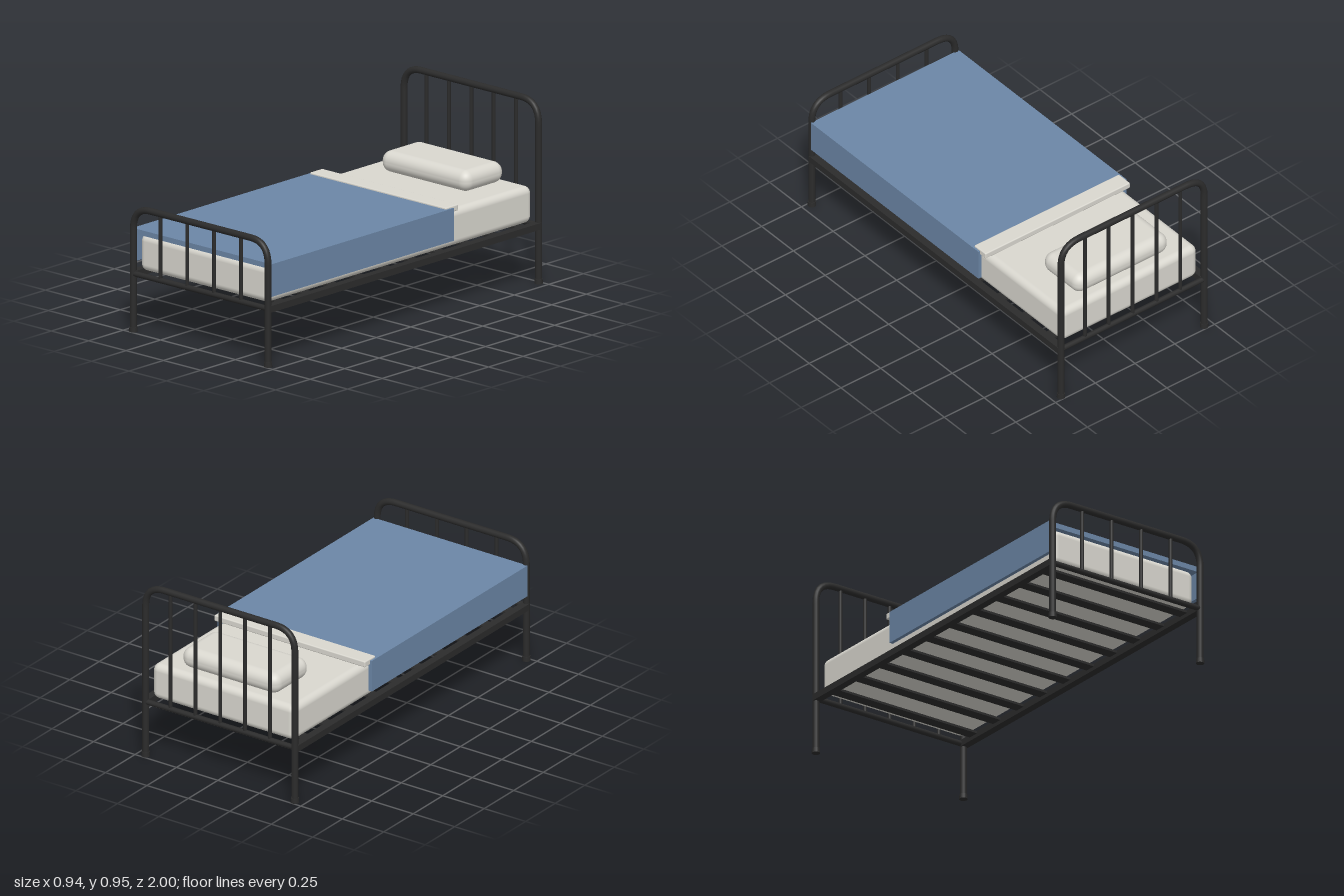
import * as THREE from 'three';
import { RoundedBoxGeometry } from 'three/addons/geometries/RoundedBoxGeometry.js';

const mat = (name, color) => {
  const m = new THREE.MeshStandardMaterial({ color });
  m.name = name;
  return m;
};

export function createModel() {
  const metal = mat('black metal', 0x2b2b2b);
  const linen = mat('white linen', 0xd9d7cf);
  const wool = mat('blue blanket', 0x6b86a6);

  const bed = new THREE.Group();
  bed.name = 'bed';

  const add = (parent, name, geometry, material, x, y, z) => {
    const mesh = new THREE.Mesh(geometry, material);
    mesh.name = name;
    mesh.position.set(x, y, z);
    parent.add(mesh);
    return mesh;
  };
  const box = (name, material, w, h, d, x, y, z) =>
    add(bed, name, new THREE.BoxGeometry(w, h, d), material, x, y, z);

  const halfW = 0.45, railY = 0.297, bend = 0.115;

  // Bent tube frame with feet, lower rail and upright spindles
  const endFrame = (name, z, topY, spindles) => {
    const frame = new THREE.Group();
    frame.name = name;
    frame.position.z = z;
    bed.add(frame);

    const p = (x, y) => new THREE.Vector3(x, y, 0);
    const path = new THREE.CurvePath();
    path.add(new THREE.LineCurve3(p(-halfW, 0), p(-halfW, topY - bend)));
    path.add(new THREE.QuadraticBezierCurve3(p(-halfW, topY - bend), p(-halfW, topY), p(-halfW + bend, topY)));
    path.add(new THREE.LineCurve3(p(-halfW + bend, topY), p(halfW - bend, topY)));
    path.add(new THREE.QuadraticBezierCurve3(p(halfW - bend, topY), p(halfW, topY), p(halfW, topY - bend)));
    path.add(new THREE.LineCurve3(p(halfW, topY - bend), p(halfW, 0)));
    add(frame, 'bentTube', new THREE.TubeGeometry(path, 120, 0.017, 14), metal, 0, 0, 0);

    const rail = new THREE.CylinderGeometry(0.014, 0.014, halfW * 2, 12);
    add(frame, 'lowerRail', rail, metal, 0, railY, 0).rotation.z = Math.PI / 2;

    const spindle = new THREE.CylinderGeometry(0.01, 0.01, topY - railY, 10);
    for (const x of spindles) add(frame, 'spindle', spindle, metal, x, (topY + railY) / 2, 0);

    const foot = new THREE.CylinderGeometry(0.02, 0.021, 0.025, 14);
    for (const s of [-1, 1]) add(frame, 'foot', foot, metal, s * halfW, 0.0125, 0);
  };
  endFrame('headboard', -0.98, 0.933, [-0.3, -0.15, 0, 0.15, 0.3]);
  endFrame('footboard', 0.98, 0.638, [-0.27, -0.09, 0.09, 0.27]);

  // Side rails and slats
  for (const s of [-1, 1]) box('sideRail', metal, 0.04, 0.034, 1.96, s * halfW, railY, 0);
  const slats = 10;
  for (let i = 0; i < slats; i++) {
    box('slat', metal, 0.88, 0.012, 0.06, 0, 0.305, -0.87 + (1.74 * i) / (slats - 1));
  }

  // Mattress and pillow
  add(bed, 'mattress', new RoundedBoxGeometry(0.86, 0.188, 1.92, 5, 0.035), linen, 0, 0.406, 0);
  add(bed, 'pillow', new RoundedBoxGeometry(0.585, 0.108, 0.29, 6, 0.05), linen, 0, 0.554, -0.77);

  // Blanket: top, hanging sides, and the folded sheet at its upper edge
  const blanketZ = 0.31, blanketL = 1.32;
  box('blanketTop', wool, 0.93, 0.027, blanketL, 0, 0.5115, blanketZ);
  for (const s of [-1, 1]) box('blanketSide', wool, 0.02, 0.142, blanketL, s * 0.455, 0.429, blanketZ);
  add(bed, 'foldedSheet', new RoundedBoxGeometry(0.91, 0.032, 0.09, 3, 0.006), linen, 0, 0.518, -0.348);

  return bed;
}
